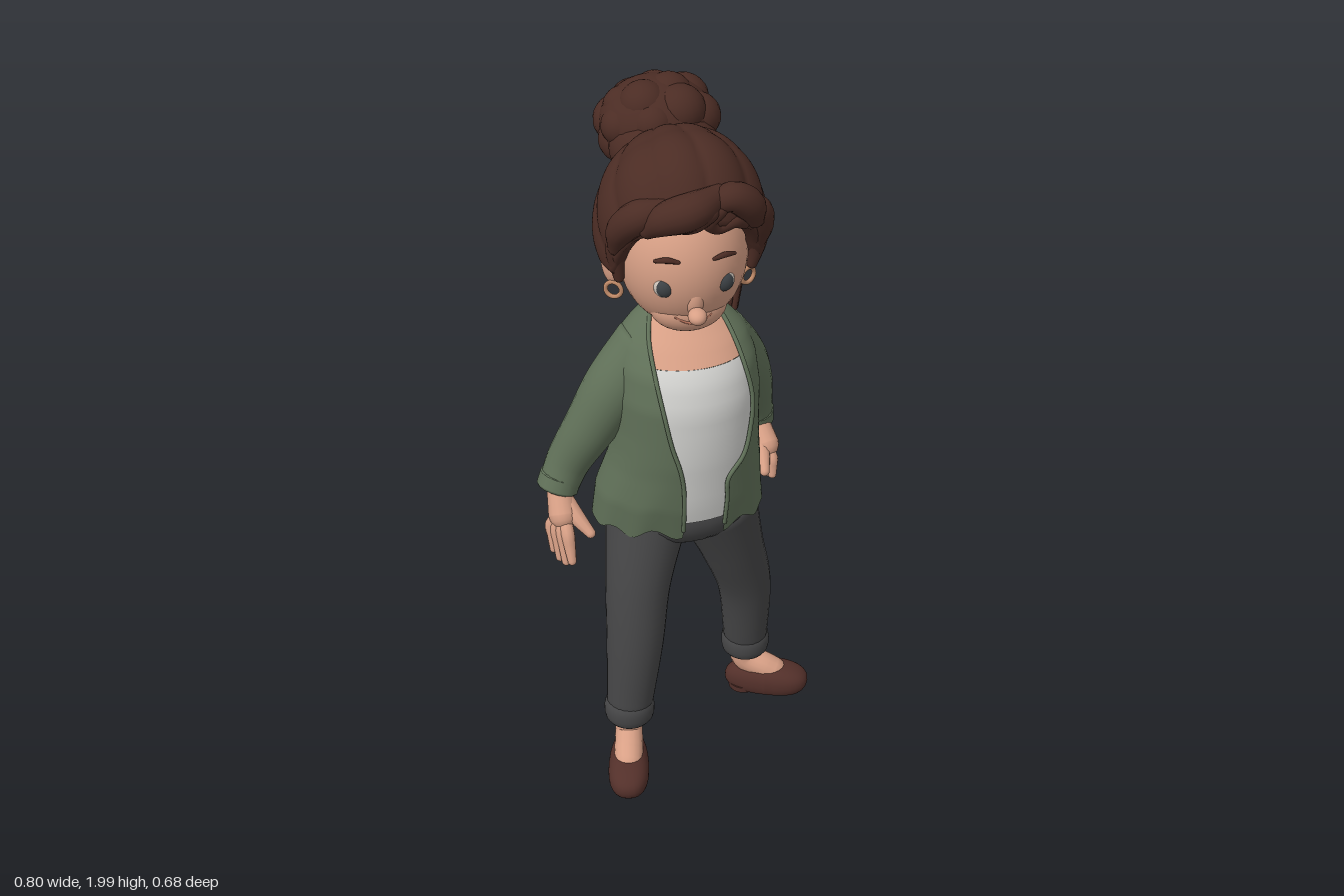
import * as THREE from 'three';
import { mergeVertices } from 'three/addons/utils/BufferGeometryUtils.js';

const V = (x, y, z) => new THREE.Vector3(x, y, z);
const paint = (name, color) => Object.assign(new THREE.MeshStandardMaterial({ color, side: THREE.DoubleSide }), { name });

// Smooth surface from fn(u around, v along)
function grid(fn, nu, nv) {
  const pos = [], index = [], w = nu + 1;
  for (let i = 0; i <= nv; i++) for (let j = 0; j <= nu; j++) pos.push(...fn(j / nu, i / nv));
  for (let i = 0; i < nv; i++) for (let j = 0; j < nu; j++) {
    const a = i * w + j, d = a + w;
    index.push(a, a + 1, d + 1, a, d + 1, d);
  }
  let g = new THREE.BufferGeometry();
  g.setAttribute('position', new THREE.Float32BufferAttribute(pos, 3));
  g.setIndex(index);
  g = mergeVertices(g, 1e-5);
  g.computeVertexNormals();
  return g;
}

// Tapered tube through [x, y, z, radius] points with rounded ends
function limb(pts, cap = 1, nu = 16, steps = 24) {
  const path = new THREE.CatmullRomCurve3(pts.map(p => V(p[0], p[1], p[2])));
  const rad = new THREE.CatmullRomCurve3(pts.map(p => V(p[3], 0, 0)), false, 'catmullrom');
  const rings = [];
  const n = V(0.31, 0.17, 0.93);
  for (let i = 0; i <= steps; i++) {
    const t = path.getTangent(i / steps);
    n.addScaledVector(t, -n.dot(t)).normalize();
    rings.push({ c: path.getPoint(i / steps), r: rad.getPoint(i / steps).x, t, n: n.clone() });
  }
  const round = (ring, s) => [0, 0.25, 0.5, 0.75].map(k => {
    const a = k * Math.PI / 2;
    return { ...ring, c: ring.c.clone().addScaledVector(ring.t, s * cap * ring.r * Math.cos(a)), r: ring.r * Math.sin(a) };
  });
  const all = [...round(rings[0], -1), ...rings, ...round(rings[steps], 1).reverse()];
  return grid((u, v) => {
    const g = all[Math.round(v * (all.length - 1))], b = g.t.clone().cross(g.n), a = (u % 1) * Math.PI * 2;
    return g.c.clone().addScaledVector(g.n, Math.cos(a) * g.r).addScaledVector(b, Math.sin(a) * g.r).toArray();
  }, nu, all.length - 1);
}

// Linear lookup in rows keyed by their first column
function lookup(rows, t) {
  let i = 0;
  while (i < rows.length - 2 && t > rows[i + 1][0]) i++;
  const a = rows[i], b = rows[i + 1], k = THREE.MathUtils.clamp((t - a[0]) / (b[0] - a[0]), 0, 1);
  return a.map((q, j) => q + (b[j] - q) * k);
}

// y, centre x, centre z, radius x, radius z, left and right edge of the opening
const TORSO = [
  [0.78, -0.012, -0.03, 0.238, 0.163, -0.03, 0.085], [0.88, -0.012, -0.018, 0.228, 0.172, -0.03, 0.09],
  [0.98, 0, -0.003, 0.208, 0.168, -0.035, 0.09], [1.03, 0.003, 0.004, 0.2, 0.168, -0.045, 0.135],
  [1.1, 0.005, 0.007, 0.195, 0.169, -0.065, 0.155], [1.2, 0.005, 0.01, 0.195, 0.167, -0.085, 0.16],
  [1.29, 0.003, -0.003, 0.187, 0.154, -0.1, 0.142], [1.35, 0, -0.025, 0.168, 0.122, -0.102, 0.122],
  [1.39, 0, -0.038, 0.132, 0.09, -0.102, 0.108], [1.43, 0, -0.052, 0.084, 0.055, -0.08, 0.08],
];
const around = (y, a, s = 1) => {
  const [, cx, cz, rx, rz] = lookup(TORSO, y);
  return [cx + rx * s * Math.sin(a), y, cz + rz * s * Math.cos(a)];
};
const edgeAngle = (y, side) => {
  const r = lookup(TORSO, y);
  return Math.asin(THREE.MathUtils.clamp((r[side < 0 ? 5 : 6] - r[1]) / r[3], -1, 1));
};

export function createModel() {
  const root = new THREE.Group();
  root.name = 'woman';
  const skin = paint('skin', 0xd8a086), hair = paint('hair brown', 0x4b2c24), green = paint('cardigan green', 0x607058),
    white = paint('shirt white', 0xd4d4d1), grey = paint('trouser grey', 0x454546), leather = paint('shoe leather', 0x53302a),
    iris = paint('iris grey', 0x3e4347), sclera = paint('eye white', 0xcfc4ba), lip = paint('lip', 0xb5735c), metal = paint('earring copper', 0xc08a68);
  const add = (name, geo, mat, p = [0, 0, 0], parent = root) => {
    const m = new THREE.Mesh(geo, mat);
    m.name = name;
    m.position.set(...p);
    parent.add(m);
    return m;
  };
  const ball = (name, mat, p, r, seg = 24, parent = root) => add(name, new THREE.SphereGeometry(1, seg, seg * 0.75).scale(...r), mat, p, parent);

  // Shirt, chest and neck
  add('shirt', grid((u, v) => around(0.83 + 0.48 * v, u * Math.PI * 2, 0.955), 48, 16), white);
  add('chest', grid((u, v) => around(1.31 + 0.11 * v, u * Math.PI * 2, 0.95), 48, 8), skin);
  add('neck', limb([[0, 1.34, -0.045, 0.082], [0, 1.42, -0.03, 0.066], [-0.01, 1.52, 0.01, 0.066]]), skin);

  // Cardigan body, open at the front, with a gathered skirt and uneven hem
  add('cardigan', grid((u, v) => {
    const y = 0.78 + 0.65 * v, a0 = edgeAngle(y, 1), a1 = edgeAngle(y, -1) + Math.PI * 2;
    const a = a0 + (a1 - a0) * u, low = Math.max(0, (1.0 - y) / 0.22), front = Math.max(0, Math.cos(a));
    const p = around(y, a, 1 + low * 0.02 * Math.sin(a * 9) * front);
    p[1] += low * low * (0.018 * Math.sin(a * 11) + 0.012) * front;
    return p;
  }, 80, 40), green);
  for (const s of [-1, 1]) {
    add('cardiganEdge', limb([0.81, 0.9, 0.97, 1.03, 1.1, 1.2, 1.3, 1.37, 1.42].map(y => [...around(y, edgeAngle(y, s)), 0.006]), 1, 8, 40), green);
  }

  // Sleeves with cuffs
  add('rightSleeve', limb([[-0.095, 1.315, -0.025, 0.085], [-0.18, 1.2, -0.015, 0.084], [-0.25, 1.08, -0.018, 0.072], [-0.31, 0.97, -0.03, 0.061], [-0.342, 0.9, -0.02, 0.055]], 0.25, 24), green);
  add('leftSleeve', limb([[0.095, 1.31, -0.03, 0.085], [0.16, 1.2, -0.09, 0.084], [0.21, 1.08, -0.16, 0.072], [0.238, 0.98, -0.205, 0.059], [0.25, 0.91, -0.225, 0.054]], 0.25, 24), green);
  add('rightCuff', limb([[-0.334, 0.925, -0.025, 0.058], [-0.346, 0.893, -0.018, 0.058]], 0.25), green);
  add('leftCuff', limb([[0.248, 0.94, -0.216, 0.056], [0.251, 0.9, -0.226, 0.056]], 0.25), green);

  // Hands: wrist to palm, then fingers fanning from the knuckles
  const hand = (name, wrist, palm, knuckles, tips, thumb) => {
    const g = new THREE.Group();
    g.name = name;
    root.add(g);
    add('palm', limb([[...wrist, 0.034], [...palm, 0.04]]), skin, [0, 0, 0], g);
    for (let i = 0; i < 4; i++) {
      const k = V(...knuckles[0]).lerp(V(...knuckles[1]), i / 3), t = V(...tips[0]).lerp(V(...tips[1]), i / 3);
      t.y -= i === 1 || i === 2 ? 0.015 : 0;
      const m = k.clone().lerp(t, 0.5);
      add('finger', limb([[...palm, 0.018], [...k.toArray(), 0.019], [...m.toArray(), 0.016], [...t.toArray(), 0.012]], 1, 10, 12), skin, [0, 0, 0], g);
    }
    const mid = V(...wrist).lerp(V(...palm), 0.4).lerp(V(...thumb), 0.5);
    add('thumb', limb([[...wrist, 0.02], [...mid.toArray(), 0.022], [...thumb, 0.014]], 1, 10, 12), skin, [0, 0, 0], g);
  };
  hand('rightHand', [-0.343, 0.9, -0.01], [-0.34, 0.835, 0.03], [[-0.37, 0.8, 0.02], [-0.335, 0.8, 0.07]], [[-0.37, 0.73, 0.04], [-0.33, 0.725, 0.1]], [-0.275, 0.8, 0.085]);
  hand('leftHand', [0.252, 0.91, -0.21], [0.268, 0.85, -0.16], [[0.27, 0.82, -0.2], [0.28, 0.82, -0.13]], [[0.272, 0.77, -0.215], [0.28, 0.775, -0.115]], [0.25, 0.81, -0.085]);

  // Trousers with rolled hems
  ball('trouserHips', grey, [-0.005, 0.8, -0.02], [0.205, 0.11, 0.14]);
  add('rightTrouserLeg', limb([[-0.1, 0.78, -0.015, 0.118], [-0.142, 0.6, 0.06, 0.092], [-0.162, 0.42, 0.105, 0.08], [-0.185, 0.22, 0.132, 0.065]], 0.3, 24), grey);
  add('leftTrouserLeg', limb([[0.095, 0.78, -0.03, 0.118], [0.15, 0.6, -0.06, 0.092], [0.2, 0.42, -0.1, 0.078], [0.215, 0.19, -0.13, 0.064]], 0.3, 24), grey);
  const roll = [[0.05, -0.034], [0.061, -0.034], [0.068, -0.024], [0.071, -0.008], [0.071, 0.01], [0.068, 0.026], [0.06, 0.036], [0.05, 0.036]].map(p => new THREE.Vector2(...p));
  add('rightRolledHem', new THREE.LatheGeometry(roll, 32), grey, [-0.186, 0.207, 0.133]);
  add('leftRolledHem', new THREE.LatheGeometry(roll, 32), grey, [0.215, 0.173, -0.13]);

  // Slip-on shoes, boxy and flat-soled, with bare ankle and instep
  const foot = (name, p, yaw) => {
    const g = new THREE.Group();
    g.name = name;
    g.position.set(...p);
    g.rotation.y = yaw;
    root.add(g);
    const geo = new THREE.SphereGeometry(1, 32, 24), a = geo.attributes.position;
    const boxy = t => Math.sign(t) * Math.pow(Math.abs(t), 0.85);
    for (let i = 0; i < a.count; i++) {
      const x = a.getX(i), y = a.getY(i), z = a.getZ(i), wide = 0.057 + 0.009 * z;
      a.setXYZ(i, boxy(x) * wide, 0.035 + (y < 0 ? Math.max(y * 2, -1) * 0.03 : boxy(y) * (0.056 - 0.005 * z)), boxy(z) * 0.125);
    }
    geo.computeVertexNormals();
    add('shoe', geo, leather, [0, 0, 0], g);
    add('heel', new THREE.CylinderGeometry(0.047, 0.045, 0.02, 24), leather, [0, 0.01, -0.068], g);
    add('ankle', limb([[0, 0.2, -0.07, 0.04], [0, 0.11, -0.068, 0.039], [0, 0.08, -0.01, 0.041], [0, 0.064, 0.02, 0.04]]), skin, [0, 0, 0], g);
  };
  foot('rightFoot', [-0.205, 0.025, 0.213], -0.2);
  foot('leftFoot', [0.276, 0, -0.102], 1.24);

  // Head and face
  ball('head', skin, [-0.015, 1.63, 0.05], [0.165, 0.2, 0.175], 40);
  ball('muzzle', skin, [-0.015, 1.51, 0.12], [0.1, 0.07, 0.075], 32);
  ball('nose', skin, [-0.015, 1.535, 0.232], [0.024, 0.021, 0.028]);
  ball('noseBridge', skin, [-0.015, 1.565, 0.2], [0.024, 0.045, 0.022]);
  for (const s of [-1, 1]) {
    const x = -0.014 + s * 0.073;
    ball('eyeWhite', sclera, [x, 1.605, 0.188], [0.029, 0.031, 0.02]);
    ball('iris', iris, [x, 1.605, 0.192], [0.026, 0.028, 0.02]);
    add('eyebrow', limb([[x - s * 0.028, 1.682, 0.214, 0.005], [x, 1.688, 0.209, 0.008], [x + s * 0.026, 1.682, 0.196, 0.005]], 1, 8, 10), hair);
    const ear = ball('ear', skin, [-0.015 + s * 0.18, 1.6, 0.03], [0.018, 0.058, 0.038]);
    ear.rotation.y = -s * 0.35;
    add('earring', new THREE.TorusGeometry(0.021, 0.006, 8, 24), metal, [-0.018 + s * 0.174, 1.53, 0.05]).rotation.y = s * 0.5;
  }
  add('mouth', limb([[-0.06, 1.51, 0.185, 0.003], [-0.035, 1.497, 0.191, 0.004], [-0.015, 1.493, 0.193, 0.004], [0.005, 1.497, 0.191, 0.004], [0.03, 1.51, 0.185, 0.003]], 1, 8), lip);

  // Hair swept back in ridges to the bun; rows give hairline angle by azimuth in degrees
  const LINE = [[0, 121], [50, 117], [75, 120], [90, 121], [101, 106], [127, 98], [180, 95]];
  const P = V(0, 0.64, -0.77), F = V(0, 0.77, 0.64);
  add('hairCap', grid((u, v) => {
    const phi = (u % 1) * Math.PI * 2, az = Math.abs(u % 1 > 0.5 ? (u % 1) * 360 - 360 : (u % 1) * 360);
    const t = Math.min(1, v / 0.94), rim = v > 0.94 ? 1 - (v - 0.94) / 0.06 * 0.16 : 1;
    const al = lookup(LINE, az)[1] * t * Math.PI / 180;
    const d = P.clone().multiplyScalar(Math.cos(al)).addScaledVector(F, Math.sin(al) * Math.cos(phi));
    d.x -= Math.sin(al) * Math.sin(phi);
    const ridge = 0.975 + 0.04 * Math.pow(Math.abs(Math.sin(phi * 6 + 0.5 * al)), 0.7) * Math.sin(al);
    const s = rim * ridge * (1 + 0.24 * Math.max(0, d.y * d.z));
    return [-0.016 + d.x * 0.216 * s, 1.69 + d.y * 0.253 * s, 0.025 + d.z * 0.208 * s];
  }, 180, 36), hair);

  // Curled fringe and temple locks
  const locks = [
    [[0.04, 1.845, 0.2, 0.03], [-0.03, 1.83, 0.235, 0.046], [-0.09, 1.81, 0.225, 0.042], [-0.13, 1.775, 0.2, 0.025]],
    [[-0.09, 1.82, 0.195, 0.03], [-0.145, 1.8, 0.18, 0.042], [-0.185, 1.75, 0.145, 0.038], [-0.195, 1.69, 0.12, 0.022]],
    [[-0.18, 1.74, 0.13, 0.028], [-0.193, 1.67, 0.1, 0.026], [-0.185, 1.59, 0.095, 0.014]],
    [[0.03, 1.83, 0.21, 0.028], [0.075, 1.845, 0.212, 0.038], [0.12, 1.81, 0.195, 0.04], [0.14, 1.76, 0.17, 0.026]],
    [[0.11, 1.8, 0.175, 0.03], [0.15, 1.77, 0.15, 0.038], [0.165, 1.72, 0.13, 0.034], [0.165, 1.66, 0.11, 0.02]],
    [[0.165, 1.7, 0.115, 0.026], [0.165, 1.65, 0.1, 0.024], [0.155, 1.59, 0.095, 0.014]],
    [[0.04, 1.82, 0.225, 0.02], [0.015, 1.79, 0.222, 0.02], [0.04, 1.765, 0.21, 0.017], [0.08, 1.775, 0.205, 0.017], [0.11, 1.755, 0.185, 0.014]],
    [[0.01, 1.82, 0.23, 0.028], [-0.03, 1.8, 0.232, 0.03], [-0.065, 1.78, 0.215, 0.018]],
  ];
  locks.forEach(l => add('fringeLock', limb(l), hair));

  // Bun of broad, soft curls sitting on a wide base
  const bun = new THREE.Group();
  bun.name = 'bun';
  root.add(bun);
  ball('bunCore', hair, [-0.03, 1.87, -0.19], [0.148, 0.115, 0.136], 32, bun);
  ball('bunBase', hair, [-0.025, 1.83, -0.13], [0.14, 0.1, 0.12], 32, bun);
  for (let i = 0; i < 22; i++) {
    const y = 1 - (i + 0.5) / 11, q = Math.sqrt(1 - y * y), a = i * 2.39996, r = 0.062 + 0.008 * Math.sin(i * 2.7);
    ball('bunCurl', hair, [-0.03 + 0.103 * q * Math.cos(a), 1.87 + 0.068 * y, -0.19 + 0.088 * q * Math.sin(a)], [r, r * 0.95, r], 20, bun);
  }

  // Loose tail, a round bundle of strands behind the left shoulder
  for (let i = 0; i < 9; i++) {
    const a = i * Math.PI / 4, w = i < 8 ? 0.033 : 0;
    const at = (x, y, z, k, r) => [x + w * k * Math.cos(a), y + 0.2 * w * Math.sin(a), z + w * k * Math.sin(a), r];
    add('tailStrand', limb([at(0.117, 1.72, -0.245, 0.85, 0.013), at(0.148, 1.6, -0.216, 1, 0.016), at(0.156, 1.45, -0.174, 1, 0.016), at(0.143, 1.328, -0.138, 0.75, 0.011)], 1, 10, 20), hair);
  }
  return root;
}
